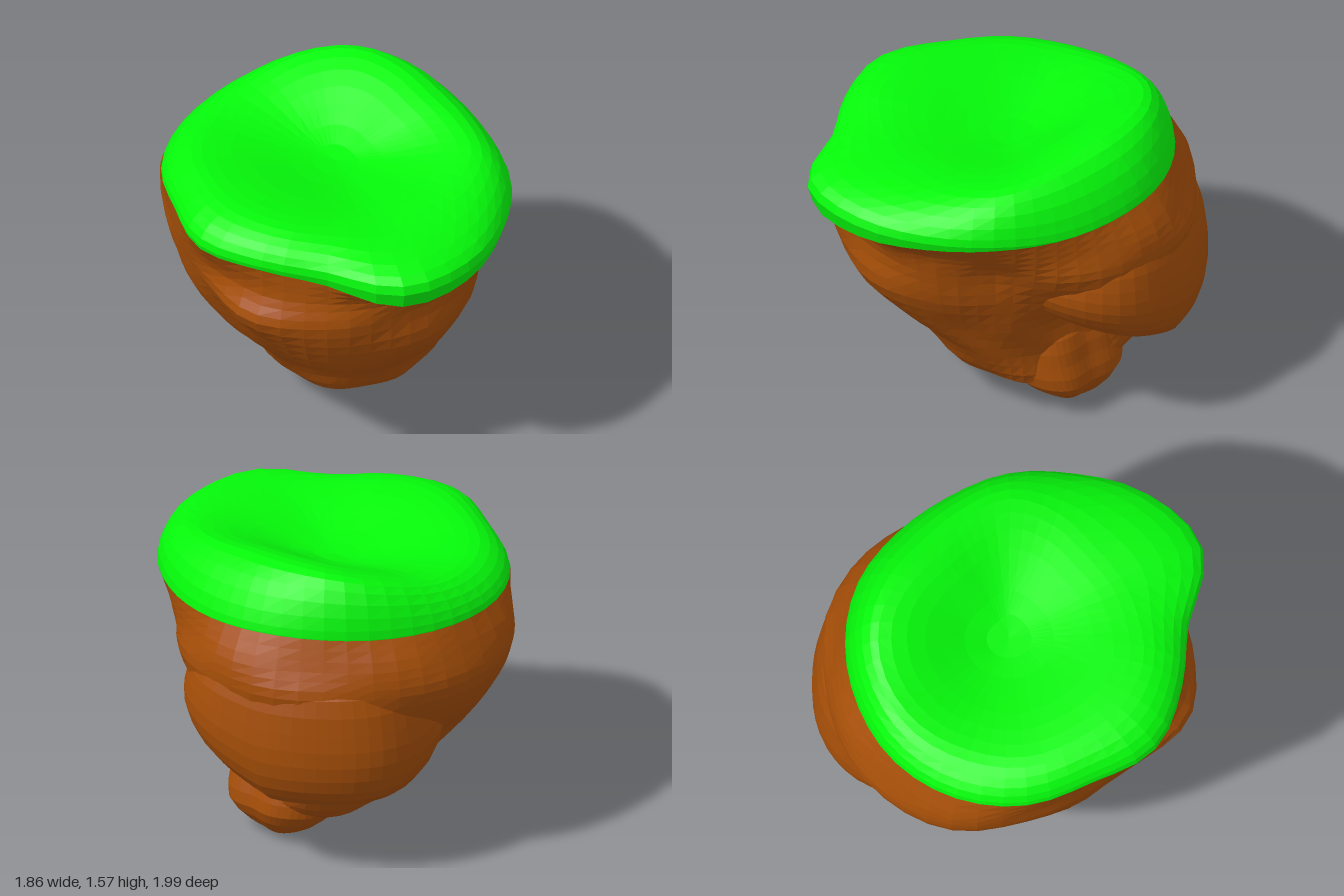
import * as THREE from 'three';

const SEG = 48;
const earth = new THREE.MeshStandardMaterial({ color: 0xa54e08, flatShading: true });
const grass = new THREE.MeshStandardMaterial({ color: 0x05f80a, flatShading: true });
const { lerp } = THREE.MathUtils;

// Smooth closed interpolation of evenly spaced values around a ring (u in 0..1)
function around(list, u) {
  const n = list.length, f = u * n, i = Math.floor(f), t = f - i;
  const [a, b, c, d] = [-1, 0, 1, 2].map(k => list[(i + k + n) % n]);
  return b + 0.5 * t * (c - a + t * (2 * a - 5 * b + 4 * c - d + t * (3 * (b - c) + d - a)));
}

// One horizontal ring; angle 0 faces +z and turns towards +x
function ring(cx, cz, radius, height) {
  return Array.from({ length: SEG }, (_, j) => {
    const u = j / SEG, a = u * Math.PI * 2, r = radius(u);
    return new THREE.Vector3(cx + r * Math.sin(a), height(u), cz + r * Math.cos(a));
  });
}

// Insert smooth in-between rings
function refine(rings, steps) {
  const columns = Array.from({ length: SEG }, (_, j) =>
    new THREE.CatmullRomCurve3(rings.map(r => r[j]), false, 'centripetal'));
  const count = (rings.length - 1) * steps;
  return Array.from({ length: count + 1 }, (_, i) => columns.map(c => c.getPoint(i / count)));
}

// Skin over rings from bottom to top, each end optionally closed to a point
function loft(name, rings, material, bottom, top) {
  const all = [...rings];
  if (bottom) all.unshift(Array(SEG).fill(bottom));
  if (top) all.push(Array(SEG).fill(top));
  const pos = all.flat().flatMap(p => [p.x, p.y, p.z]), index = [];
  for (let i = 0; i < all.length - 1; i++) {
    for (let j = 0; j < SEG; j++) {
      const k = (j + 1) % SEG;
      const a = i * SEG + j, b = i * SEG + k, c = a + SEG, d = b + SEG;
      if (!(bottom && i === 0)) index.push(a, b, d);
      if (!(top && i === all.length - 2)) index.push(a, d, c);
    }
  }
  const geo = new THREE.BufferGeometry();
  geo.setAttribute('position', new THREE.Float32BufferAttribute(pos, 3));
  geo.setIndex(index);
  geo.computeVertexNormals();
  const mesh = new THREE.Mesh(geo, material);
  mesh.name = name;
  return mesh;
}

export function createModel() {
  const group = new THREE.Group();
  group.name = 'floatingIsland';

  // Grass edge by angle: outline, seam height, overhanging lip, rim radius and height, fullness of the shoulder
  const outline = [.98, .89, .84, .80, .80, .83, .85, .87, .90, .91, .90, .87, .92, .865, .85, 1.02];
  const seamY = [1.21, 1.23, 1.25, 1.25, 1.26, 1.28, 1.28, 1.27, 1.27, 1.27, 1.28, 1.29, 1.29, 1.29, 1.25, 1.21];
  const lip = [.07, .04, .02, 0, 0, 0, 0, 0, 0, 0, 0, .01, .02, .02, .04, .08];
  const rimR = [.56, .61, .64, .58, .55, .6, .68, .72, .72, .70, .70, .68, .68, .66, .6, .57];
  const rimY = [1.43, 1.45, 1.485, 1.515, 1.545, 1.57, 1.57, 1.52, 1.45, 1.42, 1.43, 1.45, 1.465, 1.46, 1.435, 1.42];
  const fall = [.9, 1.1, 1.2, 1.4, 1.5, 1.5, 1.4, 1.3, 1.3, 1.3, 1.3, 1.2, 1, 1, .9, .75];
  const seam = ring(0, 0, u => around(outline, u) - .3 * around(lip, u), u => around(seamY, u));

  // Main rock: [y, centre x, centre z, radii]
  const levels = [
    [.11, .1, -.06, [.22, .26, .28, .3, .27, .26, .25, .22]],
    [.2, .12, -.06, [.38, .4, .42, .49, .42, .42, .42, .42]],
    [.38, .08, -.08, [.53, .5, .45, .61, .53, .52, .5, .52]],
    [.58, 0, 0, [.62, .58, .54, .7, .74, .7, .59, .66]],
    [.8, 0, 0, [.77, .72, .64, .69, .82, .89, .92, .92, .92, .88, .81, .76, .73, .78, .82, .79]],
    [1.0, 0, 0, [.78, .75, .69, .79, .89, .95, .96, .99, .99, .99, .87, .83, .83, .92, .87, .8]],
    [1.13, 0, 0, [.83, .8, .76, .8, .86, .91, .92, .95, .97, .97, .89, .85, .83, .86, .82, .84]],
  ];
  const rock = levels.map(([y, cx, cz, radii], i) => ring(cx, cz,
    u => around(radii, u) + .01 * Math.sin(u * Math.PI * 14 + i * 2.3), () => y));
  group.add(loft('mainRock', refine([...rock, seam], 3), earth, new THREE.Vector3(.08, .095, -.06)));

  // Large side boulder, its underside rising towards the front and far side
  const boulderR = [.66, .66, .51, .48, .56, .62, .5, .5];
  const boulder = [[.36, .45], [.4, .76], [.5, .93], [.65, 1], [.82, .98], [1.0, .9], [1.1, .72]]
    .map(([y, s]) => ring(.4, -.35, u => around(boulderR, u) * s, () => y));
  boulder.flat().forEach(p => {
    const rise = .45 * Math.max(0, p.z + .4) + .3 * Math.max(0, .3 - p.x);
    p.y += rise * Math.max(0, (1.1 - p.y) / .74);
  });
  group.add(loft('sideBoulder', refine(boulder, 2), earth,
    new THREE.Vector3(.4, .38, -.38), new THREE.Vector3(.4, 1.12, -.35)));

  // Tapering foot under the rock: [y, scale, centre x]
  const footR = [.26, .23, .17, .23, .31, .33, .28, .3];
  const foot = [[.005, .3, .41], [.06, .64, .42], [.17, 1, .42], [.3, 1.12, .37], [.44, 1.12, .33], [.56, .8, .28]]
    .map(([y, s, cx]) => ring(cx, -.07, u => around(footR, u) * s, () => y));
  foot.slice(0, 2).flat().forEach(p => {
    p.y += .12 * Math.max(0, p.z + .1) + .15 * Math.max(0, .35 - p.x);
  });
  group.add(loft('foot', refine(foot, 2), earth,
    new THREE.Vector3(.41, 0, -.12), new THREE.Vector3(.25, .6, -.07)));

  // Grass: rounded outer shoulder, then a shallow dish
  const cap = [seam];
  for (let i = 0; i <= 6; i++) {
    const t = (1 - i / 6) * Math.PI / 2;
    cap.push(ring(0, 0,
      u => lerp(around(rimR, u), around(outline, u), Math.sin(t)),
      u => lerp(around(seamY, u) + around(lip, u) + .005, around(rimY, u), Math.max(0, Math.cos(t)) ** around(fall, u))));
  }
  const floor = 1.36;
  for (const s of [.9, .78, .64, .5, .34, .17]) {
    cap.push(ring(0, -.06 * (1 - s), u => around(rimR, u) * s,
      u => lerp(floor, around(rimY, u), (1 - Math.cos(Math.PI * s)) / 2)));
  }
  group.add(loft('grassTop', cap, grass, null, new THREE.Vector3(0, floor, -.06)));
  return group;
}
